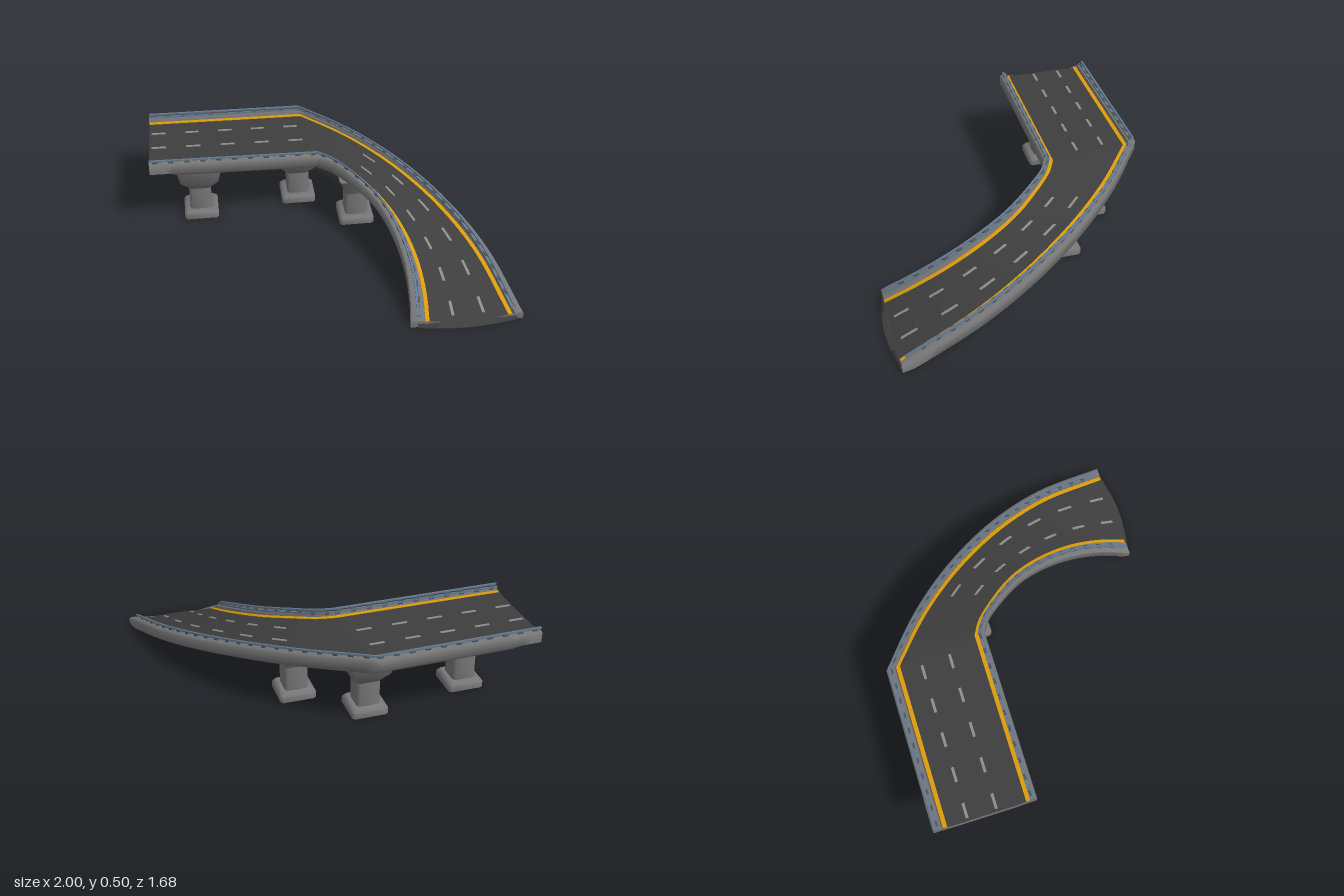
import * as THREE from 'three';
import { toCreasedNormals } from 'three/addons/utils/BufferGeometryUtils.js';

const mat = (name, color) => {
  const m = new THREE.MeshStandardMaterial({ color });
  m.name = name;
  return m;
};
const lerp = THREE.MathUtils.lerp;
const clamp = THREE.MathUtils.clamp;

// Outer and inner edges of the curved ramp, as x, z pairs
const edge = (pairs) => new THREE.CatmullRomCurve3(pairs.map(([x, z]) => new THREE.Vector3(x, 0, z)));
const outerEdge = edge([[-0.06, -0.84], [0.25, -0.595], [0.51, -0.32], [0.73, 0], [0.89, 0.35], [1, 0.8]]);
const innerEdge = edge([[0, -0.25], [0.08, -0.2], [0.17, -0.1], [0.28, 0.06], [0.35, 0.24], [0.39, 0.46], [0.39, 0.65], [0.37, 0.8]]);

// Point on the deck. p: -1..0 level span, 0..1 ramp. f: 0 outer edge, 1 inner edge.
// d: distance from there towards the inner side. dy: height above the road.
function deckPoint(p, f, d, dy) {
  const o = outerEdge.getPointAt(Math.max(p, 0));
  const i = innerEdge.getPointAt(Math.max(p, 0));
  let y = 0.45 - 0.43 * p * (0.46 + 0.54 * p);
  if (p < 0) {
    o.x = lerp(o.x, -1, -p);
    i.x = lerp(i.x, -1, -p);
    i.z = lerp(i.z, -0.26, -p);
    y = 0.45 - 0.01 * p;
  }
  const dir = i.clone().sub(o).normalize();
  const v = o.lerp(i, f).addScaledVector(dir, d);
  v.y = Math.max(0, y + dy);
  return v;
}

// Solid from closed cross-section rings; caps fan out from the middle of the closing side
function loft(rings) {
  const n = rings[0].length, verts = [], index = [];
  rings.forEach((r) => r.forEach((v) => verts.push(v.x, v.y, v.z)));
  for (let i = 0; i < rings.length - 1; i++) {
    for (let j = 0; j < n; j++) {
      const a = i * n + j, b = i * n + (j + 1) % n;
      index.push(a, b, a + n, b, b + n, a + n);
    }
  }
  [0, rings.length - 1].forEach((r, end) => {
    const c = rings[r][0].clone().lerp(rings[r][n - 1], 0.5);
    const ci = verts.length / 3;
    verts.push(c.x, c.y, c.z);
    for (let j = 0; j < n - 1; j++) {
      const a = r * n + j, b = a + 1;
      index.push(ci, end ? a : b, end ? b : a);
    }
  });
  const g = new THREE.BufferGeometry();
  g.setAttribute('position', new THREE.Float32BufferAttribute(verts, 3));
  g.setIndex(index);
  return toCreasedNormals(g, 1);
}

// Sweep a section along the deck; section(p) lists [f, d, dy]
function sweep(p0, p1, section) {
  const steps = [p0];
  for (let k = -32; k <= 32; k++) {
    const p = k / 32;
    if (p > p0 + 0.002 && p < p1 - 0.002) steps.push(p);
  }
  steps.push(p1);
  return loft(steps.map((p) => section(p).map(([f, d, dy]) => deckPoint(p, f, d, dy))));
}

// Rectangular strip; grow shifts it sideways down the ramp
const bar = (p0, p1, f, d0, d1, y0, y1, grow = 0) => sweep(p0, p1, (p) => {
  const g = grow * Math.max(0, p);
  return [[f, d0 + g, y0], [f, d0 + g, y1], [f, d1 + g, y1], [f, d1 + g, y0]];
});

export function createModel() {
  const model = new THREE.Group();
  const concrete = mat('concrete', 0x767676);
  const asphalt = mat('asphalt', 0x3e3e3e);
  const yellow = mat('yellow paint', 0xdc9c0a);
  const white = mat('worn white paint', 0x8c8c8c);
  const steel = mat('blue grey steel', 0x63788f);
  const postGrey = mat('post grey', 0x50565c);
  const add = (name, geometry, material, parent = model) => {
    const m = new THREE.Mesh(geometry, material);
    m.name = name;
    parent.add(m);
  };
  const group = (name) => {
    const g = new THREE.Group();
    g.name = name;
    model.add(g);
    return g;
  };

  // Inner kerb widens down the ramp
  const kerb = (p) => 0.035 + 0.045 * Math.max(0, p);

  // Concrete deck: rounded haunches, side faces and kerbs
  add('deck', sweep(-1, 1, (p) => {
    const bottom = lerp(-0.06, -0.115, clamp((p + 1) / 0.16, 0, 1)) + 0.015 * Math.max(0, p);
    const k = kerb(p);
    return [
      [0, 0.12, bottom], [0, 0.045, bottom * 0.75], [0, 0, -0.045], [0, 0, 0.012], [0, 0.01, 0.02], [0, 0.047, 0.018], [0, 0.055, -0.005],
      [1, -k - 0.005, -0.005], [1, -k + 0.003, 0.018], [1, -0.01, 0.02], [1, 0, 0.012], [1, 0, -0.045], [1, -0.045, bottom * 0.75], [1, -0.12, bottom],
    ];
  }), concrete);

  // Road surface and the rounded lip where it meets the ground
  add('roadSurface', sweep(-1, 1, (p) => {
    const k = kerb(p);
    return [[0, 0.053, -0.006], [0, 0.053, 0], [1, -k, 0], [1, -k, -0.006]];
  }), asphalt);
  const lip = [];
  for (let i = 0; i <= 16; i++) {
    const s = i / 16;
    const x = lerp(0.965, 0.41, s), z = 0.808 + 0.032 * Math.sin(Math.PI * s);
    lip.push([[0.797, 0], [z, 0], [z, 0.005], [0.802, 0.021], [0.797, 0.021]].map(([pz, y]) => new THREE.Vector3(x, y, pz)));
  }
  add('roadLip', loft(lip), asphalt);

  // Yellow edge lines
  add('outerEdgeLine', bar(-1, 1, 0, 0.056, 0.08, -0.003, 0.003), yellow);
  add('innerEdgeLine', bar(-1, 1, 1, -0.06, -0.036, -0.003, 0.003, -0.045), yellow);

  // Dashed lane lines
  const dashes = group('laneDashes');
  for (const f of [0.335, 0.615]) {
    for (let i = 0; i < 5; i++) {
      const p = -0.985 + i * 0.212;
      add('laneDash', bar(p, p + 0.088, f, -0.008, 0.008, -0.003, 0.003), white, dashes);
    }
    for (let i = 0; i < 6; i++) {
      const p = 0.25 + i * 0.135;
      add('laneDash', bar(p, p + 0.055, f, -0.008, 0.008, -0.003, 0.003), white, dashes);
    }
  }

  // Guard rails on both kerbs: top rail, lower rail on the road side, posts
  const rails = group('guardRails');
  for (const [f, s] of [[0, 1], [1, -1]]) {
    const strip = (name, p0, p1, c, half, y0, y1, m) =>
      add(name, bar(p0, p1, f, s * c - half, s * c + half, y0, y1, s * 0.02), m, rails);
    strip('topRail', -1, 0.985, 0.018, 0.006, 0.032, 0.041, steel);
    strip('lowerRail', -1, 0.985, 0.034, 0.004, 0.02, 0.029, steel);
    for (let i = 0; i < 11; i++) {
      const p = -0.98 + i * 0.094;
      strip('post', p, p + 0.03, 0.025, 0.011, 0.01, 0.034, postGrey);
    }
    const count = f ? 14 : 22;
    for (let i = 0; i < count; i++) {
      const p = 0.02 + (i * 0.95) / count;
      strip('post', p, p + (f ? 0.02 : 0.012), 0.025, 0.011, 0.01, 0.034, postGrey);
    }
  }

  // Piers: footing, square shaft with chamfered corners, flared head
  const ring = (h, y) => {
    const k = h - 0.015;
    return [[h, k], [h, -k], [k, -h], [-k, -h], [-h, -k], [-h, k], [-k, h], [k, h]]
      .map(([x, z]) => new THREE.Vector3(x, y, z));
  };
  for (const [x, z, headHalf, top] of [[-0.715, -0.465, 0.135, 0.36], [-0.1, -0.557, 0.135, 0.36], [0.23, -0.283, 0.108, 0.31]]) {
    const pier = group('pier');
    pier.position.set(x, 0, z);
    add('footing', loft([ring(0.105, 0), ring(0.105, 0.035), ring(0.09, 0.052)]), concrete, pier);
    add('shaft', loft([ring(0.067, 0.045), ring(0.067, 0.215)]), concrete, pier);
    add('flaredHead', loft([ring(0.067, 0.2), ring(headHalf - 0.02, 0.265), ring(headHalf, top)]), concrete, pier);
  }
  return model;
}
